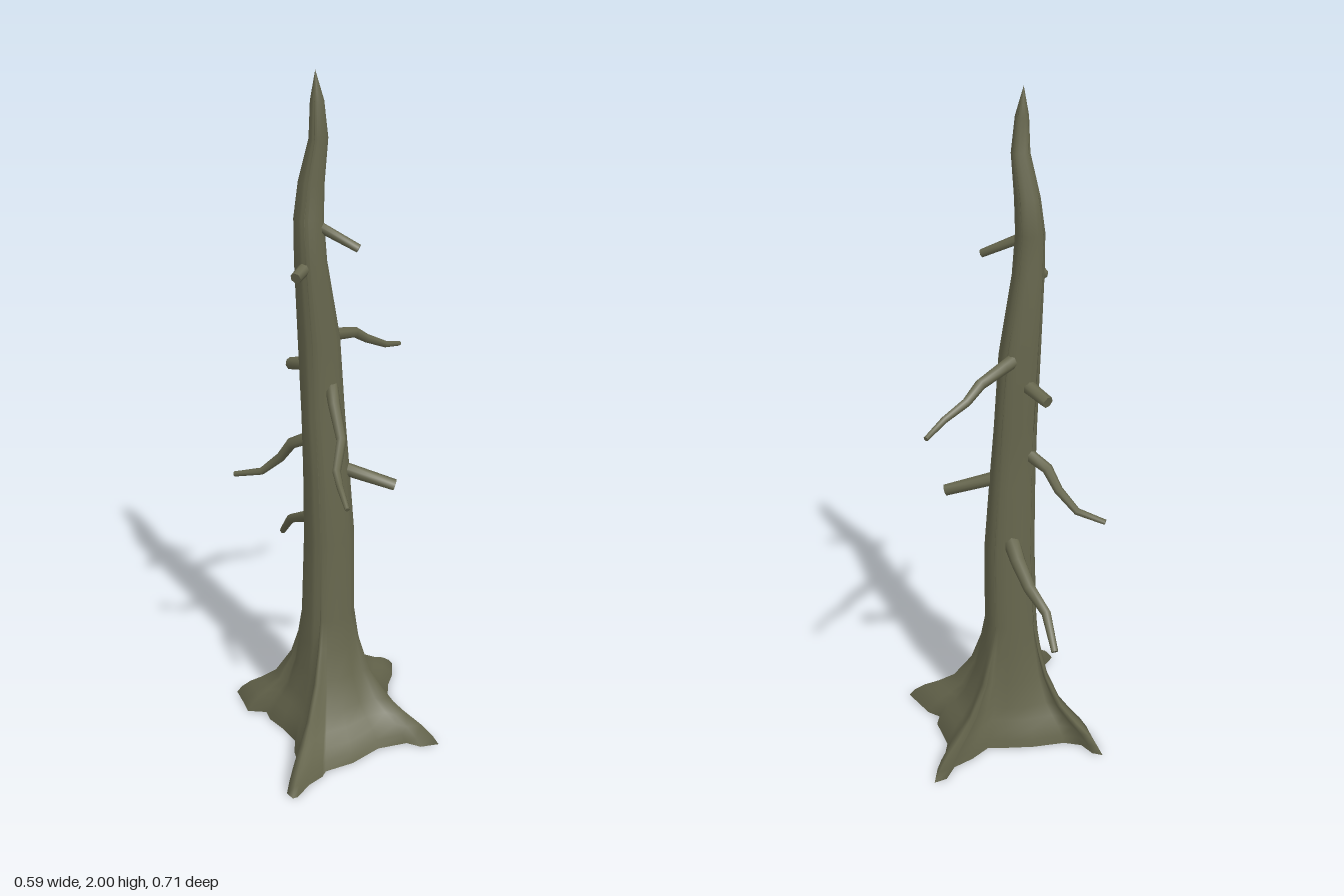
import * as THREE from 'three';

const bark = new THREE.MeshStandardMaterial({ color: 0x66664d, side: THREE.DoubleSide });
bark.name = 'olive bark';

// Smooth skin over closed rings of equal length
function loft(rings, name) {
  const n = rings[0].length, pos = [], index = [];
  for (const ring of rings) for (const p of ring) pos.push(p.x, p.y, p.z);
  for (let j = 0; j < rings.length - 1; j++) {
    for (let i = 0; i < n; i++) {
      const a = j * n + i, b = j * n + (i + 1) % n;
      index.push(a, a + n, b, b, a + n, b + n);
    }
  }
  const geo = new THREE.BufferGeometry();
  geo.setAttribute('position', new THREE.Float32BufferAttribute(pos, 3));
  geo.setIndex(index);
  geo.computeVertexNormals();
  const mesh = new THREE.Mesh(geo, bark);
  mesh.name = name;
  return mesh;
}

// Ground outline of the roots, as x, z, clockwise from above
const outline = [
  [-0.29, 0.34], [-0.295, 0.31], [-0.22, 0.245], [-0.195, 0.13], [-0.17, 0.08], [-0.18, 0],
  [-0.195, -0.06], [-0.19, -0.1], [-0.24, -0.13], [-0.235, -0.17], [-0.23, -0.245], [-0.205, -0.225],
  [-0.19, -0.175], [-0.145, -0.145], [-0.05, -0.13], [0.03, -0.105], [0.08, -0.085], [0.145, -0.12],
  [0.21, -0.14], [0.25, -0.185], [0.29, -0.19], [0.26, -0.13], [0.22, -0.08], [0.19, -0.02],
  [0.185, 0.09], [0.165, 0.125], [0.19, 0.16], [0.215, 0.275], [0.16, 0.265], [0.13, 0.23],
  [0.04, 0.22], [-0.06, 0.255], [-0.15, 0.26], [-0.17, 0.28], [-0.22, 0.3], [-0.275, 0.34],
];

// Flare from the ground to the trunk: share of the reach, height
const flare = [[1, 0], [0.93, 0.025], [0.8, 0.055], [0.62, 0.085], [0.42, 0.125], [0.2, 0.21], [0.08, 0.3]];

// Trunk sections: y, centre x, centre z, half width x, half width z
const sections = [
  [0.39, -0.03, 0.012, 0.078, 0.078],
  [0.64, -0.026, 0.012, 0.075, 0.067],
  [0.85, -0.035, 0.013, 0.068, 0.06],
  [1.02, -0.042, 0.008, 0.064, 0.05],
  [1.25, -0.05, -0.002, 0.06, 0.055],
  [1.48, -0.077, 0.005, 0.045, 0.047],
  [1.6, -0.08, 0, 0.041, 0.043],
  [1.7, -0.07, -0.003, 0.036, 0.037],
  [1.82, -0.058, 0.018, 0.027, 0.022],
  [1.92, -0.061, 0.017, 0.019, 0.018],
  [2, -0.065, 0.015, 0, 0],
];

function makeTrunk() {
  const angles = outline.map(([x, z]) => Math.atan2(z - 0.012, x + 0.03));
  const upper = sections.map(([y, cx, cz, rx, rz]) => angles.map((a) =>
    new THREE.Vector3(cx + rx * Math.cos(a), y, cz + rz * Math.sin(a))));
  const lower = flare.map(([s, y]) => outline.map(([x, z], i) => {
    const p = upper[0][i];
    return new THREE.Vector3(p.x + (x - p.x) * s, y, p.z + (z - p.z) * s);
  }));
  return loft([...lower, ...upper], 'trunkAndRoots');
}

// Tapered branch along a bent path, with a flat broken end
function makeBranch(name, path, r0, r1) {
  const pts = path.map((p) => new THREE.Vector3(...p));
  const last = pts.length - 1, sides = 7;
  const rings = pts.map((p, j) => {
    const d = pts[Math.min(j + 1, last)].clone().sub(pts[Math.max(j - 1, 0)]).normalize();
    const u = new THREE.Vector3(0, 1, 0).cross(d).normalize();
    const v = d.clone().cross(u);
    const r = r0 + (r1 - r0) * j / last;
    return Array.from({ length: sides }, (_, i) => {
      const a = i / sides * Math.PI * 2;
      return p.clone().addScaledVector(u, r * Math.cos(a)).addScaledVector(v, -r * Math.sin(a));
    });
  });
  const group = new THREE.Group();
  group.name = name;
  const end = rings[last];
  group.add(loft(rings, name + 'Wood'), loft([end, end.map(() => pts[last])], name + 'End'));
  return group;
}

const branches = [
  ['leftBranch', [[-0.04, 1.25, -0.02], [0.02, 1.235, -0.05], [0.1, 1.215, -0.09], [0.15, 1.18, -0.115],
    [0.22, 1.145, -0.13], [0.29, 1.12, -0.178]], 0.022, 0.007],
  ['backRightBranch', [[-0.06, 0.95, -0.01], [-0.11, 0.91, -0.07], [-0.13, 0.855, -0.105],
    [-0.17, 0.8, -0.15], [-0.235, 0.78, -0.205]], 0.02, 0.008],
  ['frontBranch', [[-0.025, 1.13, 0.02], [-0.045, 1.08, 0.09], [-0.06, 1.01, 0.17], [-0.1, 0.945, 0.225],
    [-0.115, 0.925, 0.28], [-0.125, 0.89, 0.35]], 0.02, 0.007],
  ['backBranch', [[-0.015, 0.68, -0.02], [-0.01, 0.64, -0.1], [-0.01, 0.6, -0.19], [-0.028, 0.56, -0.27],
    [-0.022, 0.48, -0.35]], 0.026, 0.01],
  ['lowerStub', [[-0.02, 0.865, 0.02], [0.14, 0.805, 0.105]], 0.021, 0.017],
  ['upperStub', [[-0.06, 1.58, 0.02], [0.028, 1.525, 0.09]], 0.015, 0.012],
  ['rightStub', [[-0.07, 1.48, 0], [-0.145, 1.455, 0.06]], 0.02, 0.016],
  ['backStub', [[-0.05, 1.17, -0.01], [-0.09, 1.14, -0.115]], 0.022, 0.018],
];

export function createModel() {
  const tree = new THREE.Group();
  tree.name = 'deadTree';
  tree.add(makeTrunk());
  for (const b of branches) tree.add(makeBranch(...b));
  return tree;
}
